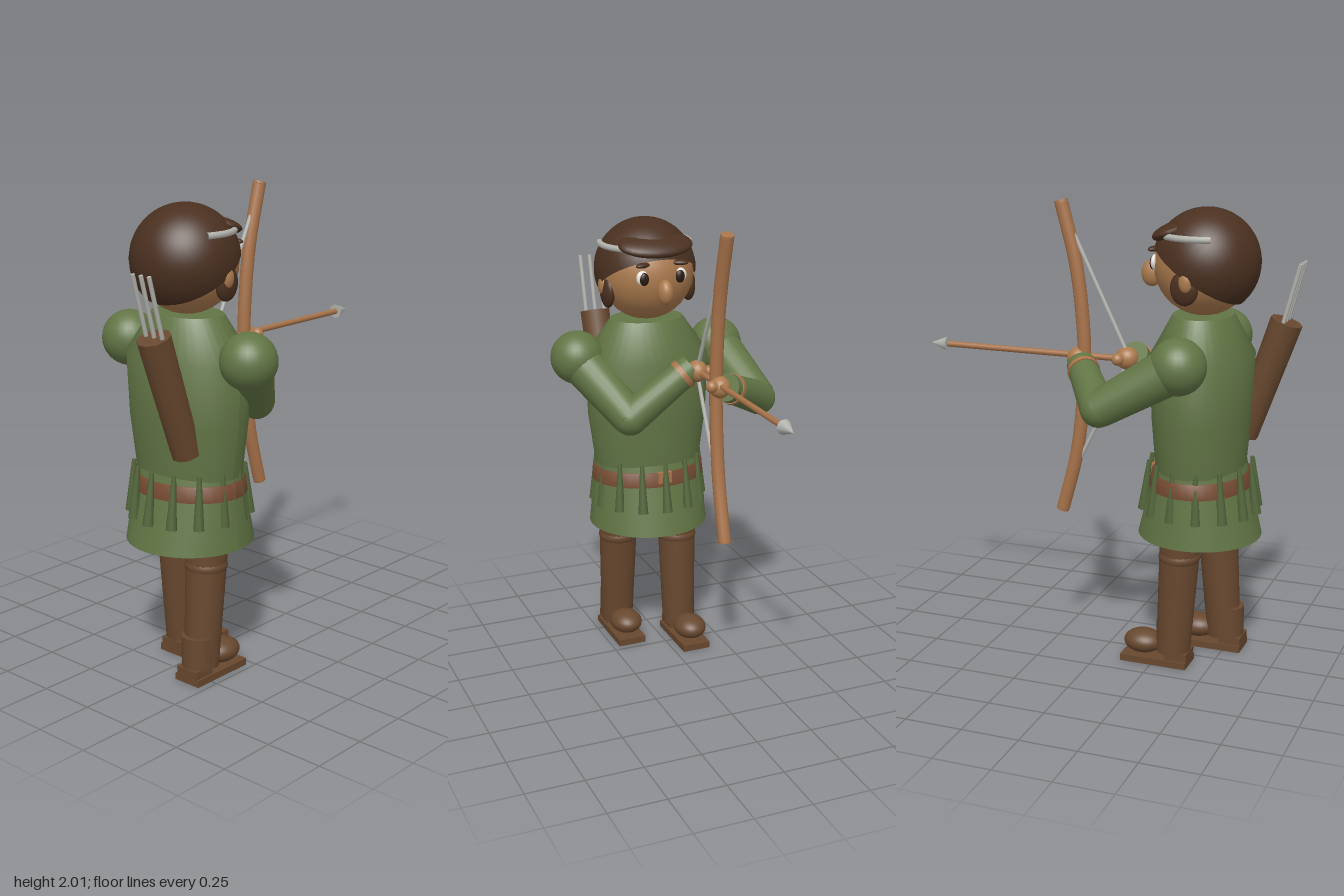
import * as THREE from 'three';

const mat = (name, color, side = THREE.FrontSide) => {
  const m = new THREE.MeshStandardMaterial({ color, side });
  m.name = name;
  return m;
};
const V = (x, y, z) => new THREE.Vector3(x, y, z);

export function createModel() {
  const green = mat('tunic green', 0x627545, THREE.DoubleSide);
  const darkGreen = mat('tassel green', 0x52653a);
  const brown = mat('leather brown', 0x68482f);
  const belt = mat('belt brown', 0x774c33, THREE.DoubleSide);
  const hairMat = mat('hair brown', 0x4a3020, THREE.DoubleSide);
  const skin = mat('skin', 0xab7a4e);
  const wood = mat('wood', 0xa8734a);
  const metal = mat('metal grey', 0xb2b2ad);
  const white = mat('eye white', 0xe8e4dc);
  const dark = mat('eye dark', 0x2a1a12);

  const model = new THREE.Group();
  model.name = 'archer';
  const CX = -0.41, CZ = 0.022; // body axis; the figure looks along +x

  const add = (name, geo, material, x = 0, y = 0, z = 0) => {
    const mesh = new THREE.Mesh(geo, material);
    mesh.name = name;
    mesh.position.set(x, y, z);
    model.add(mesh);
    return mesh;
  };
  const ball = (name, material, x, y, z, rx, ry = rx, rz = rx) => {
    const mesh = add(name, new THREE.SphereGeometry(1, 28, 18), material, x, y, z);
    mesh.scale.set(rx, ry, rz);
    return mesh;
  };
  // Tapered round bar from a (radius ra) to b (radius rb)
  const limb = (name, material, a, b, ra, rb, sides = 20) => {
    const mesh = add(name, new THREE.CylinderGeometry(rb, ra, a.distanceTo(b), sides), material);
    mesh.position.copy(a).lerp(b, 0.5);
    mesh.quaternion.setFromUnitVectors(V(0, 1, 0), b.clone().sub(a).normalize());
    return mesh;
  };
  // Lathe of [radius, y, z stretch] rows, giving an oval cross-section
  const oval = (name, material, rows) => {
    const geo = new THREE.LatheGeometry(rows.map(([r, y]) => new THREE.Vector2(r, y)), 40);
    const p = geo.attributes.position;
    for (let i = 0; i < p.count; i++) p.setZ(i, p.getZ(i) * rows[i % rows.length][2]);
    geo.computeVertexNormals();
    return add(name, geo, material, CX, 0, CZ);
  };

  // Tunic
  oval('torso', green, [[0.188, 0.88, 1.3], [0.205, 1.1, 1.34], [0.215, 1.37, 1.33], [0.125, 1.54, 1.33]]);
  oval('collar', green, [[0.125, 1.54, 1.33], [0.001, 1.541, 1.33]]);
  oval('skirt', green, [[0.188, 0.9, 1.28], [0.208, 0.82, 1.2], [0.266, 0.58, 1.02]]);
  oval('skirtUnderside', green, [[0.266, 0.58, 1.02], [0.001, 0.58, 1.02]]);
  oval('belt', belt, [[0.207, 0.8, 1.22], [0.214, 0.8, 1.22], [0.206, 0.865, 1.24], [0.19, 0.865, 1.24]]);
  add('buckle', new THREE.BoxGeometry(0.02, 0.05, 0.065), wood, -0.198, 0.845, CZ);
  for (let i = 0; i < 14; i++) {
    const a = (i / 14) * Math.PI * 2, c = Math.cos(a), s = Math.sin(a);
    limb('tassel', darkGreen, V(CX + 0.248 * c, 0.69, CZ + 0.25 * s),
      V(CX + 0.22 * c, 0.91, CZ + 0.238 * s), 0.023, 0.009, 10);
  }

  // Legs and shoes: [z, top x, ankle x, sole centre x]
  for (const [z, tx, ax, sx] of [[0.155, -0.445, -0.49, -0.43], [-0.1, -0.365, -0.335, -0.26]]) {
    limb('leg', brown, V(ax, 0.06, z), V(tx, 0.64, z), 0.074, 0.09);
    ball('knee', brown, tx - (tx - ax) * 0.22, 0.5, z, 0.09, 0.055, 0.09);
    limb('shoeAnkle', brown, V(sx - 0.075, 0.06, z), V(sx - 0.075, 0.2, z), 0.073, 0.073);
    add('heel', new THREE.BoxGeometry(0.1, 0.04, 0.11), brown, sx - 0.1, 0.045, z);
    add('sole', new THREE.BoxGeometry(0.3, 0.03, 0.13), brown, sx, 0.015, z);
    ball('shoeToe', brown, sx + 0.062, 0.085, z, 0.087, 0.052, 0.073);
  }

  // Head and face
  ball('head', skin, CX, 1.745, CZ, 0.21);
  ball('nose', skin, -0.18, 1.695, CZ, 0.045, 0.056, 0.035);
  for (const s of [-1, 1]) {
    ball('eyeWhite', white, -0.222, 1.757, CZ + s * 0.088, 0.014, 0.032, 0.028);
    ball('pupil', dark, -0.213, 1.753, CZ + s * 0.083, 0.012, 0.028, 0.021);
    const brow = ball('eyebrow', hairMat, -0.222, 1.812, CZ + s * 0.085, 0.02, 0.012, 0.038);
    brow.rotation.y = s * 0.4;
    ball('sideburn', hairMat, -0.385, 1.675, CZ + s * 0.19, 0.06, 0.073, 0.028);
    ball('ear', skin, -0.395, 1.7, CZ + s * 0.205, 0.03, 0.045, 0.022);
    // Thin band showing at each temple
    const arc = new THREE.EllipseCurve(-0.42, CZ, 0.197, 0.197, s * 0.86, s * 1.93, s < 0).getPoints(14);
    const path = new THREE.CatmullRomCurve3(arc.map((p) => V(p.x, 1.873, p.y)));
    add('headBand', new THREE.TubeGeometry(path, 16, 0.014, 8), metal);
  }
  const hair = add('hair', new THREE.SphereGeometry(0.225, 36, 24, 0, Math.PI * 2, 0, 1.81), hairMat, -0.42, 1.757, CZ);
  hair.rotation.z = 0.58;
  const fringe = ball('fringe', hairMat, -0.29, 1.885, CZ, 0.1, 0.037, 0.17);
  fringe.rotation.z = -0.35;

  // Arms: shoulder, elbow, wrist, hand
  const arms = [
    [V(CX, 1.385, 0.35), V(-0.18, 1.15, 0.19), V(-0.14, 1.365, -0.085), V(-0.115, 1.35, -0.1)],
    [V(CX, 1.385, -0.315), V(-0.1, 1.2, -0.39), V(0.07, 1.32, -0.155), V(0.1, 1.335, -0.112)],
  ];
  for (const [shoulder, elbow, wrist, hand] of arms) {
    ball('shoulder', green, shoulder.x, shoulder.y, shoulder.z, 0.118);
    limb('upperArm', green, shoulder, elbow, 0.1, 0.078);
    ball('elbow', green, elbow.x, elbow.y, elbow.z, 0.076);
    limb('forearm', green, elbow, wrist, 0.076, 0.062);
    limb('cuff', wood, elbow.clone().lerp(wrist, 0.82), elbow.clone().lerp(wrist, 0.89), 0.069, 0.068);
    ball('hand', skin, hand.x, hand.y, hand.z, 0.05, 0.048, 0.045);
  }
  ball('thumb', skin, -0.09, 1.352, -0.147, 0.026);
  ball('thumb', skin, 0.12, 1.347, -0.066, 0.026);

  // Bow, string and arrow
  const BZ = -0.105;
  const bowPts = [[0.175, 1.99], [0.112, 1.74], [0.082, 1.5], [0.075, 1.33], [0.084, 1.13], [0.115, 0.9], [0.177, 0.66]]
    .map(([x, y]) => V(x, y, BZ));
  add('bow', new THREE.TubeGeometry(new THREE.CatmullRomCurve3(bowPts), 40, 0.029, 12), wood);
  limb('bowTip', wood, bowPts[0], V(0.178, 2, BZ), 0.029, 0.028, 12);
  limb('bowTip', wood, bowPts[6], V(0.18, 0.65, BZ), 0.029, 0.028, 12);
  const nock = V(-0.13, 1.347, BZ);
  limb('string', metal, nock, V(0.148, 1.92, BZ), 0.009, 0.009, 8);
  limb('string', metal, nock, V(0.148, 0.79, BZ), 0.009, 0.009, 8);
  limb('arrowShaft', wood, nock, V(0.73, 1.347, BZ), 0.013, 0.013, 10);
  limb('arrowHead', metal, V(0.72, 1.347, BZ), V(0.8, 1.347, BZ), 0.032, 0.001, 12);

  // Quiver with spare arrows
  limb('quiver', brown, V(-0.56, 1.0, 0.15), V(-0.733, 1.505, 0.15), 0.062, 0.07, 10);
  for (const dz of [-0.044, 0, 0.044])
    limb('spareArrow', metal, V(-0.715, 1.45, 0.15 + dz), V(-0.795, 1.755, 0.15 + dz), 0.009, 0.009, 8);

  return model;
}
